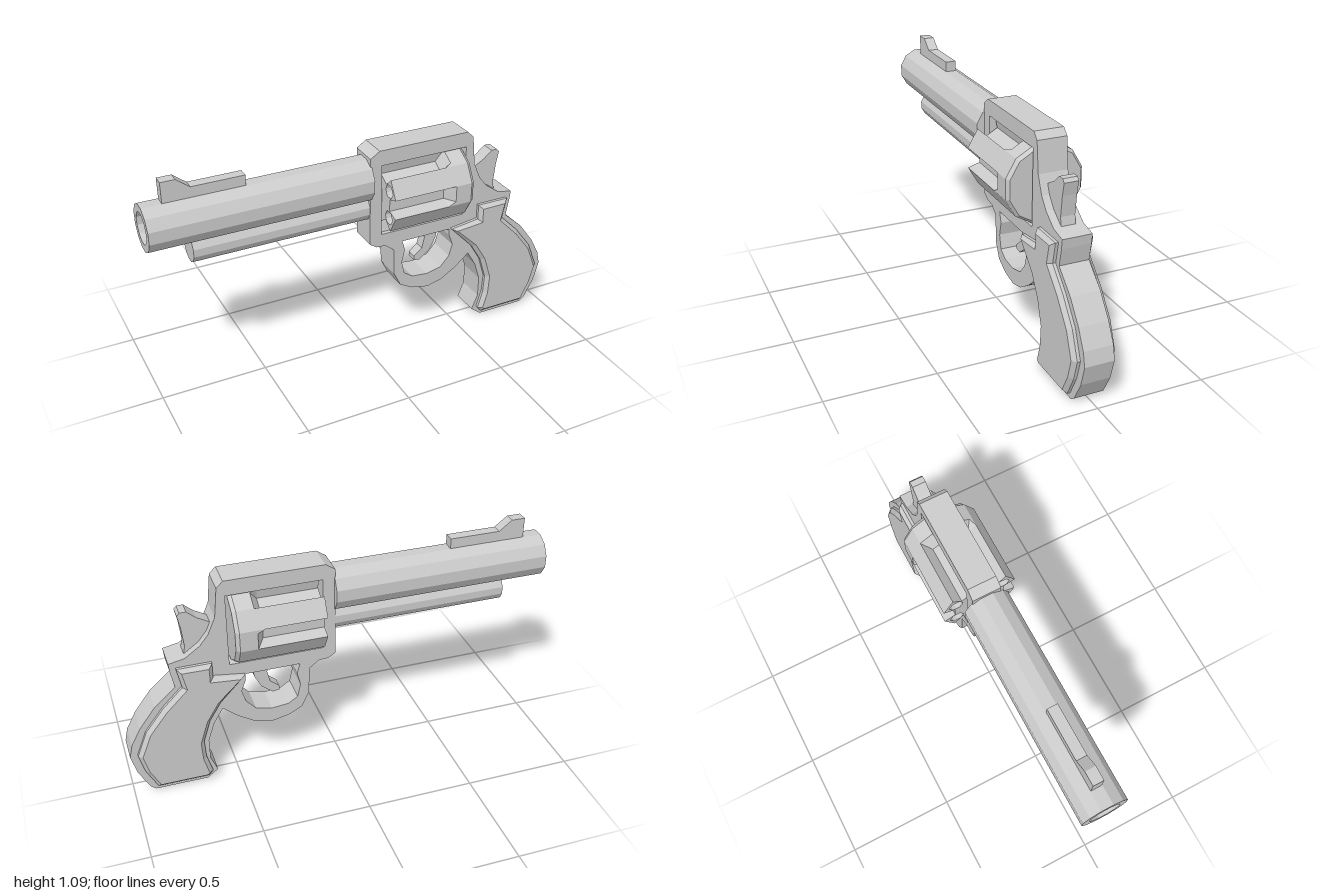
import * as THREE from 'three';

const material = new THREE.MeshStandardMaterial({ color: 0xcccccc, flatShading: true });
const inside = new THREE.MeshStandardMaterial({ color: 0xcccccc, flatShading: true, side: THREE.DoubleSide });
const vecs = (pts) => pts.map(([x, y]) => new THREE.Vector2(x, y));

function add(group, name, geometry, mat = material) {
  const mesh = new THREE.Mesh(geometry, mat);
  mesh.name = name;
  group.add(mesh);
  return mesh;
}

// Side outline extruded symmetrically about z = 0
function plate(points, halfWidth, holes = []) {
  const shape = new THREE.Shape(vecs(points));
  holes.forEach((h) => shape.holes.push(new THREE.Path(vecs(h))));
  const geo = new THREE.ExtrudeGeometry(shape, { depth: halfWidth * 2, bevelEnabled: false });
  return geo.translate(0, 0, -halfWidth);
}

// Twelve-sided turned part lying along x; profile is [radius, x]
function turned(profile, y) {
  const geo = new THREE.LatheGeometry(vecs(profile), 12, Math.PI / 12);
  return geo.rotateZ(-Math.PI / 2).translate(0, y, 0);
}

// Cross-section of the drum as [z, y]: flute = 1 cuts six grooves, 0 is a plain 12-gon
function drumSection(flute, scale = 1) {
  const R = 0.183 * scale, pts = [];
  const flat = R * Math.cos(Math.PI / 12);
  const floor = THREE.MathUtils.lerp(flat, 0.122, flute);
  for (let k = 0; k < 6; k++) {
    const a = k * Math.PI / 3, c = Math.cos(a), s = Math.sin(a);
    const edge = R * Math.sin(Math.PI / 12);
    for (const [r, t] of [[flat, -edge], [floor, -0.03], [floor, 0.03], [flat, edge]]) {
      pts.push([r * c - t * s, r * s + t * c]);
    }
  }
  return pts;
}

function drum() {
  const group = new THREE.Group();
  group.name = 'cylinder';
  group.position.y = 0.79;

  // Body lofted through sections along x
  const sections = [
    [0.09, drumSection(1)], [0.37, drumSection(1)], [0.405, drumSection(0)],
    [0.485, drumSection(0)], [0.502, drumSection(0, 0.93)],
  ];
  const n = 24, pos = [], idx = [];
  sections.forEach(([x, pts]) => pts.forEach(([z, y]) => pos.push(x, y, z)));
  for (let s = 0; s < sections.length - 1; s++) {
    for (let i = 0; i < n; i++) {
      const j = (i + 1) % n, a = s * n + i, b = s * n + j;
      idx.push(a, a + n, b + n, a, b + n, b);
    }
  }
  const last = (sections.length - 1) * n, centre = sections.length * n;
  pos.push(0.502, 0, 0);
  for (let i = 0; i < n; i++) idx.push(centre, last + (i + 1) % n, last + i);
  const body = new THREE.BufferGeometry();
  body.setAttribute('position', new THREE.Float32BufferAttribute(pos, 3));
  body.setIndex(idx);
  body.computeVertexNormals();
  add(group, 'cylinderBody', body);

  // Front face pierced by six chambers
  const face = new THREE.Shape(vecs(drumSection(1)));
  for (let k = 0; k < 6; k++) {
    const a = (k + 0.5) * Math.PI / 3, z = 0.133 * Math.cos(a), y = 0.133 * Math.sin(a);
    const hole = new THREE.Path();
    hole.absarc(z, y, 0.034, 0, Math.PI * 2, true);
    face.holes.push(hole);
    const bore = new THREE.CylinderGeometry(0.034, 0.034, 0.25, 12, 1, true);
    add(group, 'chamber', bore.rotateZ(Math.PI / 2).translate(0.215, y, z), inside);
    const end = new THREE.CircleGeometry(0.034, 12);
    add(group, 'chamberEnd', end.rotateY(-Math.PI / 2).translate(0.34, y, z));
  }
  add(group, 'cylinderFront', new THREE.ShapeGeometry(face, 3).rotateY(-Math.PI / 2).translate(0.09, 0, 0));
  return group;
}

export function createModel() {
  const model = new THREE.Group();

  // Frame, trigger guard and grip core in one outline
  const outline = [
    [0.02, 1.01], [0.065, 1.04], [0.52, 1.04], [0.55, 1.01], [0.565, 0.87], [0.6, 0.79],
    [0.64, 0.74], [0.71, 0.69], [0.785, 0.675], [0.78, 0.63], [0.765, 0.55], [0.865, 0.46],
    [0.94, 0.36], [0.985, 0.275], [1, 0.21], [0.975, 0.115], [0.925, 0.02], [0.9, 0],
    [0.655, 0], [0.605, 0.04], [0.635, 0.115], [0.635, 0.22], [0.605, 0.31], [0.56, 0.385],
    [0.49, 0.325], [0.41, 0.275], [0.335, 0.257], [0.25, 0.275], [0.185, 0.31], [0.15, 0.38],
    [0.145, 0.515], [0.1, 0.55], [0.055, 0.553], [0.02, 0.575],
  ];
  const drumWindow = [[0.078, 0.615], [0.515, 0.615], [0.515, 0.967], [0.078, 0.967]];
  const guardHole = [
    [0.19, 0.55], [0.205, 0.5], [0.19, 0.435], [0.205, 0.37], [0.25, 0.34], [0.33, 0.332],
    [0.405, 0.35], [0.45, 0.4], [0.467, 0.46], [0.447, 0.515], [0.445, 0.55],
  ];
  add(model, 'frame', plate(outline, 0.068, [drumWindow, guardHole]));

  // Barrel with open bore, and the rod housing below it
  add(model, 'barrel', turned(
    [[0, -0.5], [0.072, -0.5], [0.072, -1], [0.108, -1], [0.108, 0.025], [0, 0.025]], 0.89));
  add(model, 'rodHousing', turned([[0, -0.81], [0.068, -0.81], [0.068, 0.025], [0, 0.025]], 0.75));

  add(model, 'frontSight', plate([
    [-0.91, 0.97], [-0.545, 0.97], [-0.545, 1.043], [-0.785, 1.043], [-0.845, 1.09], [-0.91, 1.09],
  ], 0.025));

  model.add(drum());

  add(model, 'hammer', plate([
    [0.56, 0.69], [0.71, 0.68], [0.7, 0.73], [0.71, 0.825], [0.722, 0.885], [0.71, 0.9],
    [0.68, 0.9], [0.64, 0.865], [0.58, 0.83],
  ], 0.033));

  add(model, 'trigger', plate([
    [0.32, 0.57], [0.335, 0.51], [0.322, 0.455], [0.28, 0.42], [0.28, 0.398], [0.312, 0.393],
    [0.365, 0.435], [0.395, 0.495], [0.41, 0.57],
  ], 0.025));

  // Bevelled grip panels on both sides
  const panel = new THREE.Shape(vecs([
    [0.45, 0.555], [0.595, 0.575], [0.595, 0.65], [0.755, 0.65], [0.735, 0.55], [0.83, 0.455],
    [0.915, 0.345], [0.965, 0.22], [0.94, 0.125], [0.89, 0.025], [0.65, 0.025], [0.63, 0.05],
    [0.655, 0.14], [0.66, 0.23], [0.625, 0.34], [0.57, 0.43],
  ]));
  const grip = new THREE.ExtrudeGeometry(panel, {
    depth: 0.164, bevelThickness: 0.018, bevelSize: 0.018, bevelOffset: -0.018, bevelSegments: 1,
  });
  add(model, 'gripPanels', grip.translate(0, 0, -0.082));

  return model;
}
